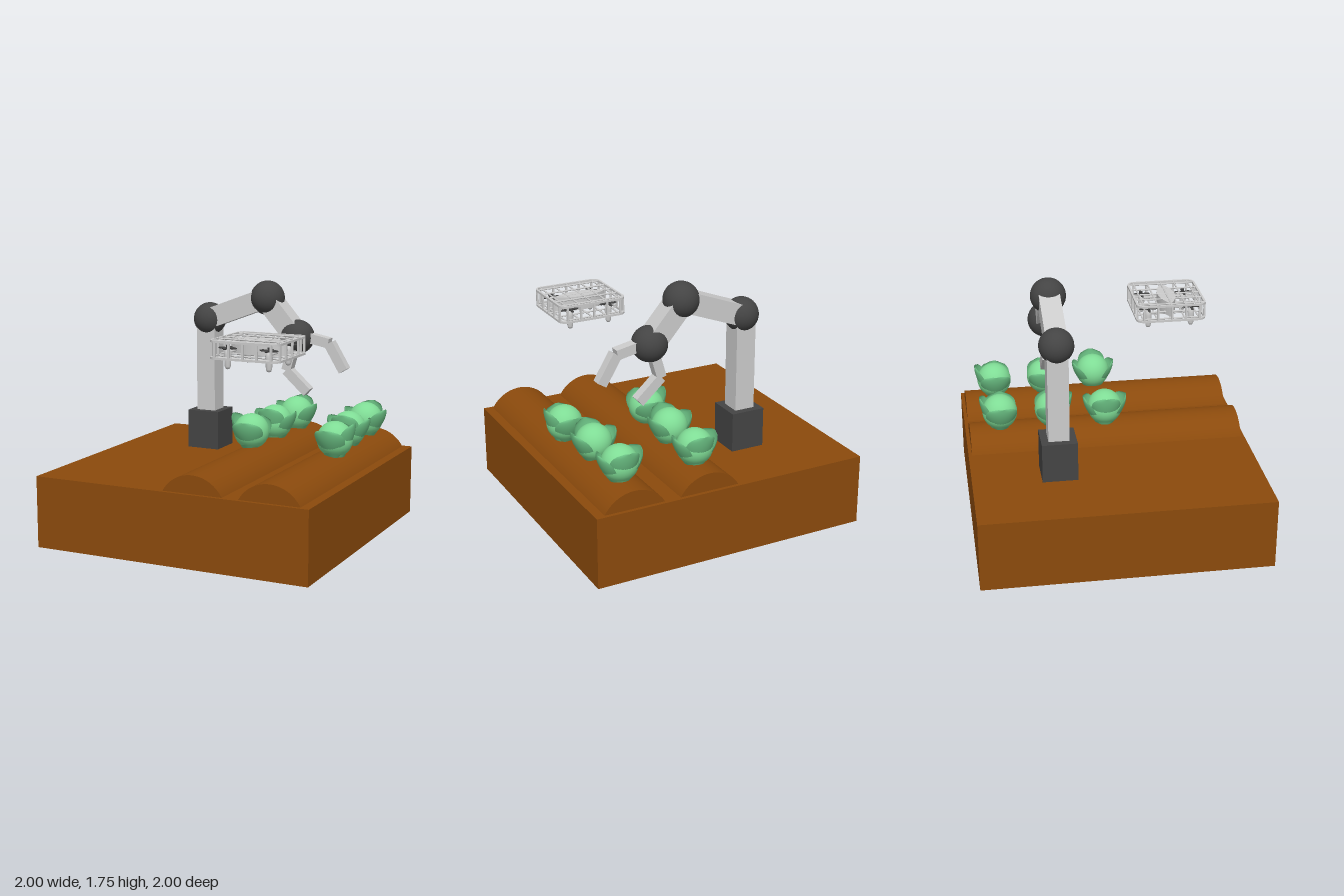
import * as THREE from 'three';

const mat = (color, side = THREE.FrontSide) => new THREE.MeshStandardMaterial({ color, side });
const GREY = mat(0xcccccc), DARK = mat(0x444444), SOIL = mat(0x8b4a0c);
const GREEN = mat(0x7fdc95), LEAF = mat(0x6cc285, THREE.DoubleSide);

function add(parent, name, geo, material, x = 0, y = 0, z = 0) {
  const m = new THREE.Mesh(geo, material);
  m.name = name;
  m.position.set(x, y, z);
  parent.add(m);
  return m;
}

function group(parent, name, x = 0, y = 0, z = 0) {
  const g = new THREE.Group();
  g.name = name;
  g.position.set(x, y, z);
  parent.add(g);
  return g;
}

// Square bar running between two points of the xy plane
function link(parent, name, [x1, y1], [x2, y2], w) {
  const len = Math.hypot(x2 - x1, y2 - y1);
  const m = add(parent, name, new THREE.BoxGeometry(len, w, w), GREY, (x1 + x2) / 2, (y1 + y2) / 2);
  m.rotation.z = Math.atan2(y2 - y1, x2 - x1);
}

// Soil bed with two long planting ridges
function buildBed(root) {
  const bed = group(root, 'soilBed');
  add(bed, 'soilBlock', new THREE.BoxGeometry(2, 0.5, 2), SOIL, 0, 0.25, 0);
  const half = Math.asin(0.215 / 0.247);
  const arc = new THREE.Shape();
  arc.absarc(0, 0, 0.247, Math.PI / 2 - half, Math.PI / 2 + half, false);
  const geo = new THREE.ExtrudeGeometry(arc, { depth: 1.95, bevelEnabled: false, curveSegments: 32 });
  for (const x of [0.175, 0.72]) add(bed, 'plantingRidge', geo, SOIL, x, 0.378, -0.975);
}

// Jointed arm with a two finger gripper
function buildArm(root) {
  const arm = group(root, 'robotArm', 0, 0, -0.4);
  const joints = [[-0.38, 1.455], [0.085, 1.63], [0.32, 1.36]];
  add(arm, 'armBase', new THREE.BoxGeometry(0.245, 0.28, 0.245), DARK, -0.38, 0.64, 0);
  link(arm, 'armPost', [-0.38, 0.78], joints[0], 0.145);
  link(arm, 'upperArm', joints[0], joints[1], 0.145);
  link(arm, 'foreArm', joints[1], joints[2], 0.145);
  joints.forEach(([x, y], i) =>
    add(arm, 'armJoint', new THREE.SphereGeometry(i ? 0.124 : 0.12, 32, 20), DARK, x, y, 0));
  const fingers = [
    [[0.31, 1.34], [0.245, 1.115], [0.41, 0.965]],
    [[0.34, 1.375], [0.57, 1.33], [0.685, 1.14]],
  ];
  for (const [a, b, c] of fingers) {
    link(arm, 'fingerUpper', a, b, 0.07);
    link(arm, 'fingerTip', b, c, 0.07);
  }
}

// Cupped leaf: a sheet wrapped around the head, flaring upwards to a rounded tip
function leafGeometry(height, flare) {
  const geo = new THREE.PlaneGeometry(2, 1, 14, 14);
  const p = geo.attributes.position;
  for (let i = 0; i < p.count; i++) {
    const u = p.getX(i), v = p.getY(i) + 0.5;
    const angle = u * 1.05 * Math.sqrt(1.03 - Math.pow(v, 4));
    const r = 0.07 + flare * Math.sin(v * Math.PI / 2) - 0.008 * u * u;
    p.setXYZ(i, Math.sin(angle) * r, height * v, Math.cos(angle) * r);
  }
  geo.computeVertexNormals();
  return geo;
}

// Two rows of cabbages; yaw points each middle leaf
function buildCabbages(root) {
  const head = new THREE.SphereGeometry(0.125, 32, 20);
  const middle = leafGeometry(0.235, 0.075), outer = leafGeometry(0.2, 0.088);
  const plants = [
    [0.17, -0.755, Math.PI], [0.16, -0.38, 0], [0.145, 0, -Math.PI / 2],
    [0.72, -0.755, Math.PI], [0.73, -0.38, 0], [0.775, 0, Math.PI / 2],
  ];
  for (const [x, z, yaw] of plants) {
    const plant = group(root, 'cabbage', x, 0.613, z);
    plant.rotation.y = yaw;
    add(plant, 'cabbageHead', head, GREEN, 0, 0.117, 0);
    add(plant, 'middleLeaf', middle, LEAF);
    for (const s of [-1, 1]) add(plant, 'sideLeaf', outer, LEAF).rotation.y = s * 1.65;
  }
}

function roundedRect(target, h, r) {
  target.moveTo(h, r - h);
  target.absarc(h - r, h - r, r, 0, Math.PI / 2, false);
  target.absarc(r - h, h - r, r, Math.PI / 2, Math.PI, false);
  target.absarc(r - h, r - h, r, Math.PI, Math.PI * 1.5, false);
  target.absarc(h - r, r - h, r, Math.PI * 1.5, Math.PI * 2, false);
  return target;
}

// Hovering drone inside a square protective cage
function buildDrone(root) {
  const drone = group(root, 'drone', 0.42, 1.408, 0.49);
  const ring = roundedRect(new THREE.Shape(), 0.25, 0.06);
  ring.holes.push(roundedRect(new THREE.Path(), 0.235, 0.045));
  const ringGeo = new THREE.ExtrudeGeometry(ring, { depth: 0.015, bevelEnabled: false, curveSegments: 8 });
  ringGeo.rotateX(-Math.PI / 2);
  const bar = new THREE.CylinderGeometry(0.006, 0.006, 0.48, 8);
  const upright = new THREE.BoxGeometry(0.014, 0.11, 0.014);
  const offsets = [-0.2, -0.1, 0, 0.1, 0.2];
  for (const y of [-0.0625, 0.0475]) {
    add(drone, 'cageRing', ringGeo, GREY, 0, y, 0);
    for (const o of offsets) {
      add(drone, 'cageBar', bar, GREY, o, y + 0.0075, 0).rotation.x = Math.PI / 2;
      add(drone, 'cageBar', bar, GREY, 0, y + 0.0075, o).rotation.z = Math.PI / 2;
    }
  }
  for (const o of offsets) for (const s of [-0.242, 0.242]) {
    add(drone, 'cageUpright', upright, GREY, o, 0, s);
    add(drone, 'cageUpright', upright, GREY, s, 0, o);
  }

  // Pointed oval body
  const oval = new THREE.Shape();
  oval.moveTo(-0.195, 0);
  oval.quadraticCurveTo(-0.11, -0.062, 0, -0.062);
  oval.quadraticCurveTo(0.11, -0.062, 0.195, 0);
  oval.quadraticCurveTo(0.11, 0.062, 0, 0.062);
  oval.quadraticCurveTo(-0.11, 0.062, -0.195, 0);
  const body = new THREE.ExtrudeGeometry(oval, { depth: 0.1, bevelEnabled: false, curveSegments: 10 });
  body.rotateX(-Math.PI / 2);
  add(drone, 'droneBody', body, GREY, 0, -0.045, 0);

  // Motor pods, their arms and the rotors
  const pod = new THREE.LatheGeometry([[0, -0.135], [0.014, -0.13], [0.02, -0.115], [0.025, -0.04], [0.018, -0.01], [0, 0.005]]
    .map(([x, y]) => new THREE.Vector2(x, y)), 16);
  const blade = new THREE.SphereGeometry(1, 12, 8).scale(0.032, 0.008, 0.01);
  const strut = new THREE.CylinderGeometry(0.008, 0.008, 0.15, 8);
  for (const sx of [-1, 1]) for (const sz of [-1, 1]) {
    const unit = group(drone, 'rotorUnit', sx * 0.147, 0, sz * 0.155);
    add(unit, 'motorPod', pod, GREY);
    add(unit, 'rotorHub', new THREE.CylinderGeometry(0.01, 0.01, 0.03, 12), DARK, 0, 0.01, 0);
    for (const s of [-1, 1]) {
      add(unit, 'rotorBlade', blade, DARK, s * 0.036, 0.005, 0);
      add(unit, 'rotorBlade', blade, DARK, 0, 0.005, s * 0.036).rotation.y = Math.PI / 2;
    }
    add(unit, 'motorArm', strut, GREY, 0, -0.025, -sz * 0.07).rotation.x = Math.PI / 2;
  }
}

export function createModel() {
  const root = new THREE.Group();
  root.name = 'roboticGarden';
  buildBed(root);
  buildArm(root);
  buildCabbages(root);
  buildDrone(root);
  return root;
}
